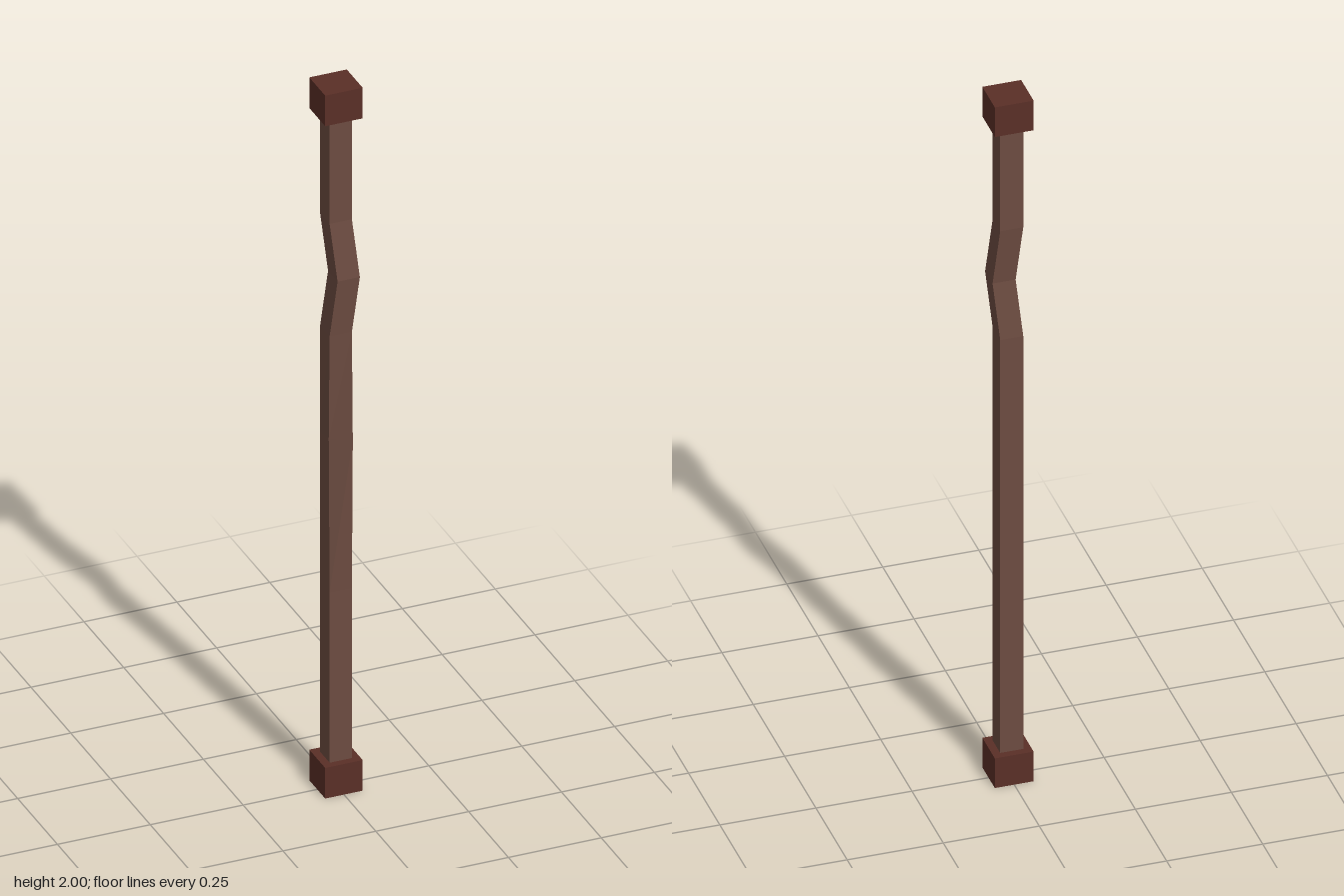
import * as THREE from 'three';

const HALF = 0.03; // half width of the square shaft
// Height of each ring of the shaft, with its sideways shift and the turn of its front edge
const RINGS = [
  { y: 0.08 },
  { y: 0.57 },
  { y: 1.0, twist: Math.PI / 6 },
  { y: 1.3 },
  { y: 1.46, shift: 0.015 },
  { y: 1.62 },
  { y: 1.925 },
];

function material(color) {
  return new THREE.MeshStandardMaterial({ color, flatShading: true });
}

// Square post whose rings are moved to give a kink and a twisted front face
function shaftGeometry() {
  const steps = RINGS.length - 1;
  const geometry = new THREE.BoxGeometry(2 * HALF, 1, 2 * HALF, 1, steps, 1);
  const pos = geometry.attributes.position;
  for (let i = 0; i < pos.count; i++) {
    const { y, shift = 0, twist = 0 } = RINGS[Math.round((pos.getY(i) + 0.5) * steps)];
    let x = pos.getX(i);
    let z = pos.getZ(i);
    if (z > 0) {
      z += x * Math.sin(twist);
      x *= Math.cos(twist);
    }
    pos.setXYZ(i, x + shift, y, z + shift);
  }
  geometry.computeVertexNormals();
  return geometry;
}

export function createModel() {
  const group = new THREE.Group();
  group.name = 'staff';

  const shaft = new THREE.Mesh(shaftGeometry(), material(0x6d4c41));
  shaft.name = 'shaft';
  group.add(shaft);

  // Square end caps
  const capHeight = 0.087;
  const capGeometry = new THREE.BoxGeometry(0.101, capHeight, 0.1);
  const capMaterial = material(0x5a2f27);
  for (const [name, y] of [['bottomCap', capHeight / 2], ['topCap', 2 - capHeight / 2]]) {
    const cap = new THREE.Mesh(capGeometry, capMaterial);
    cap.name = name;
    cap.position.y = y;
    group.add(cap);
  }
  return group;
}
